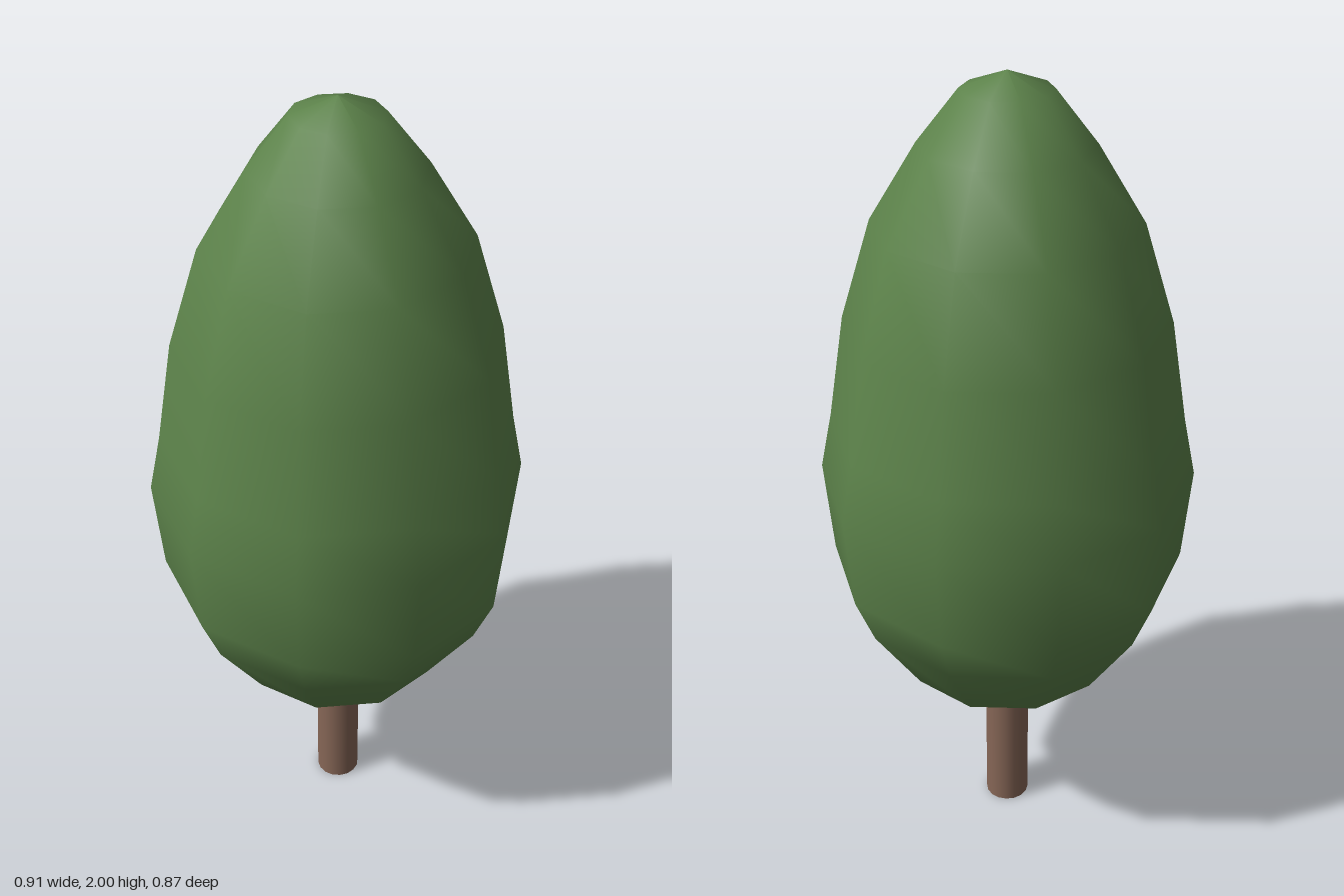
import * as THREE from 'three';

export function createModel() {
  const tree = new THREE.Group();
  tree.name = 'tree';

  // Smooth ten-sided crown, profile (radius, height) from bottom to top
  const profile = [
    [0, 0.335], [0.03, 0.337], [0.105, 0.36], [0.265, 0.48], [0.387, 0.665],
    [0.435, 0.785], [0.455, 1.02], [0.425, 1.165], [0.384, 1.42],
    [0.31, 1.66], [0.2, 1.84], [0.105, 1.96], [0, 2],
  ].map(([r, y]) => new THREE.Vector2(r, y));
  const crown = new THREE.Mesh(
    new THREE.LatheGeometry(profile, 10, Math.PI / 2),
    new THREE.MeshStandardMaterial({ color: 0x5c824a })
  );
  crown.name = 'crown';
  tree.add(crown);

  // Straight round trunk, its top hidden inside the crown
  const height = 0.42;
  const trunk = new THREE.Mesh(
    new THREE.CylinderGeometry(0.056, 0.056, height, 16),
    new THREE.MeshStandardMaterial({ color: 0x866656 })
  );
  trunk.name = 'trunk';
  trunk.position.y = height / 2;
  tree.add(trunk);

  return tree;
}
